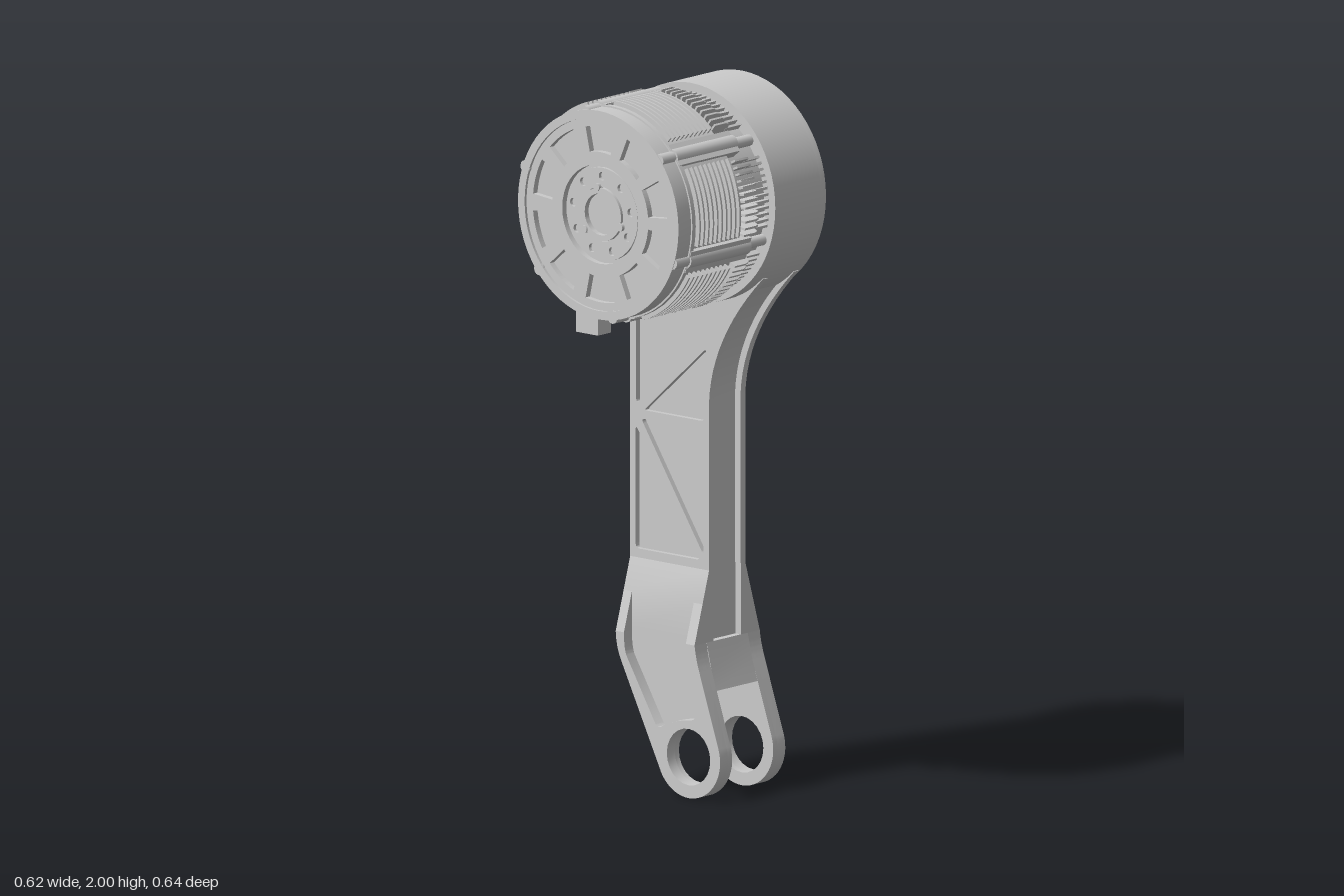
import * as THREE from 'three';
import { mergeGeometries, toCreasedNormals } from 'three/addons/utils/BufferGeometryUtils.js';

const mat = new THREE.MeshStandardMaterial({ color: 0xcccccc });
const MID = -0.185; // arm mid-plane in z
const rad = THREE.MathUtils.degToRad;

function add(parent, name, geo) {
  const m = new THREE.Mesh(geo, mat);
  m.name = name;
  parent.add(m);
  return m;
}

// closed polygon with rounded corners
function poly(pts, r = 0, Type = THREE.Shape) {
  const s = new Type(), v = pts.map(p => new THREE.Vector2(...p)), n = v.length;
  v.forEach((p, i) => {
    const toward = q => p.clone().add(q.clone().sub(p).setLength(r));
    const a = r ? toward(v[(i + n - 1) % n]) : p, b = r ? toward(v[(i + 1) % n]) : p;
    if (i) s.lineTo(a.x, a.y); else s.moveTo(a.x, a.y);
    if (r) s.quadraticCurveTo(p.x, p.y, b.x, b.y);
  });
  s.closePath();
  return s;
}

function circle(r, x = 0, y = 0, Type = THREE.Path) {
  const s = new Type();
  s.absarc(x, y, r, 0, Math.PI * 2);
  return s;
}

function sector(r0, r1, a, b, Type = THREE.Shape) {
  const s = new Type();
  s.absarc(0, 0, r1, a, b, false);
  s.absarc(0, 0, r0, b, a, true);
  s.closePath();
  return s;
}

// flat plate between two z values
function plate(shape, z0, z1, seg = 12) {
  const g = new THREE.ExtrudeGeometry(shape, { depth: z1 - z0, bevelEnabled: false, curveSegments: seg });
  return toCreasedNormals(g.translate(0, 0, z0), 0.5);
}

// disc or ring along z
function disc(r, z0, z1, x = 0, y = 0, seg = 20) {
  return new THREE.CylinderGeometry(r, r, z1 - z0, seg).rotateX(Math.PI / 2).translate(x, y, (z0 + z1) / 2);
}
function ring(r0, r1, z0, z1, seg = 24) {
  const s = circle(r1, 0, 0, THREE.Shape);
  s.holes.push(circle(r0));
  return plate(s, z0, z1, seg);
}

// the same plate on the front and back of the arm
function bothSides(parent, name, shape, z0, z1) {
  add(parent, name + 'Front', plate(shape, z0, z1));
  add(parent, name + 'Back', plate(shape, 2 * MID - z1, 2 * MID - z0));
}

// a (z, y) profile swept in x, on the front and back of the arm
function sweepX(parent, name, pts, x0, x1) {
  for (const back of [false, true]) {
    const shape = poly(pts.map(([z, y]) => [back ? 2 * MID - z : z, y]));
    const g = plate(shape, 0, x1 - x0).rotateY(-Math.PI / 2).translate(x1, 0, 0);
    add(parent, name + (back ? 'Back' : 'Front'), g);
  }
}

// straight upper arm outline, flaring into the round housing
function armShape(inset, y0) {
  const s = new THREE.Shape();
  s.moveTo(-0.265 + inset, y0);
  s.lineTo(0.022 - inset, y0);
  s.lineTo(0.022 - inset, 1.1);
  s.quadraticCurveTo(0.03 - inset, 1.286 + inset * 0.4, 0.217 - inset, 1.473);
  s.lineTo(0, 1.6);
  s.lineTo(-0.265 + inset, 1.535);
  s.closePath();
  return s;
}

function buildArm() {
  const arm = new THREE.Group();
  arm.name = 'arm';

  // flanges with triangular pockets over a recessed web
  const frame = armShape(0, 0.63);
  const pockets = [
    [[-0.243, 1.41], [-0.16, 1.375], [-0.06, 1.352], [0.03, 1.345], [0.028, 1.29], [-0.243, 1.06]],
    [[0.012, 1.25], [0.004, 1.045], [-0.215, 1.045]],
    [[-0.225, 1.02], [0.002, 1.02], [0.002, 0.67]],
    [[-0.245, 1.0], [-0.245, 0.655], [-0.01, 0.655]],
  ];
  for (const p of pockets) frame.holes.push(poly(p, 0.014, THREE.Path));
  bothSides(arm, 'pocketFrame', frame, -0.125, -0.11);
  bothSides(arm, 'pocketFloor', armShape(0, 0.63), -0.13, -0.125);
  add(arm, 'armCore', plate(armShape(0.02, 0.43), -0.245, -0.125));

  // taper from the arm to the wider fork
  sweepX(arm, 'taper', [[-0.128, 0.63], [-0.11, 0.63], [-0.083, 0.54], [-0.083, 0.43], [-0.128, 0.43]], -0.265, 0.022);
  const rail = [[-0.083, 0.54], [-0.05, 0.43], [-0.083, 0.43]];
  sweepX(arm, 'taperRailLeft', rail, -0.01, 0.022);
  sweepX(arm, 'taperRailRight', rail, -0.265, -0.235);

  // fork cheeks, each an outer rim over a flat inner plate
  const cheek = notch => {
    const s = new THREE.Shape();
    s.moveTo(-0.265, 0.43);
    s.quadraticCurveTo(-0.263, 0.385, -0.245, 0.35);
    s.lineTo(-0.102, 0.063);
    s.absarc(0, 0.115, 0.115, rad(207), rad(378.7), false);
    s.lineTo(0.04, 0.355);
    s.quadraticCurveTo(0.026, 0.395, 0.022, 0.43);
    if (notch) {
      s.lineTo(-0.01, 0.43);
      s.quadraticCurveTo(-0.008, 0.33, 0.022, 0.235);
      s.quadraticCurveTo(0.025, 0.222, 0.01, 0.219);
      s.quadraticCurveTo(-0.06, 0.21, -0.1, 0.185);
      s.quadraticCurveTo(-0.112, 0.18, -0.12, 0.19);
      s.lineTo(-0.225, 0.365);
      s.quadraticCurveTo(-0.235, 0.385, -0.235, 0.43);
    }
    s.closePath();
    s.holes.push(circle(0.079, 0, 0.115));
    return s;
  };
  bothSides(arm, 'forkRim', cheek(true), -0.083, -0.05);
  bothSides(arm, 'forkCheek', cheek(false), -0.1, -0.083);
  add(arm, 'forkBridge', plate(poly([[-0.265, 0.43], [-0.26, 0.385], [-0.245, 0.35], [-0.212, 0.285],
    [0.058, 0.3], [0.04, 0.355], [0.022, 0.43]]), -0.27, -0.1));
  return arm;
}

function buildHousing() {
  const g = new THREE.Group();
  g.name = 'housing';
  add(g, 'housingDrum', disc(0.307, -0.25, -0.06, 0, 0, 64));

  // back plate with counterbores and one larger port
  const back = circle(0.307, 0, 0, THREE.Shape);
  back.holes.push(circle(0.05, -0.17, 0.09), circle(0.045));
  const bolts = [];
  for (let i = 0; i < 8; i++) {
    const a = rad(i * 45), b = rad(22.5 + i * 45);
    back.holes.push(circle(0.02, 0.27 * Math.cos(a), 0.27 * Math.sin(a)));
    bolts.push(disc(0.011, -0.264, -0.25, 0.27 * Math.cos(a), 0.27 * Math.sin(a), 12));
    bolts.push(disc(0.013, -0.282, -0.26, 0.25 * Math.cos(b), 0.25 * Math.sin(b), 12));
  }
  for (let i = 0; i < 3; i++) {
    const a = rad(90 + i * 120);
    bolts.push(disc(0.022, -0.28, -0.26, 0.105 * Math.cos(a), 0.105 * Math.sin(a), 14));
  }
  add(g, 'backPlate', plate(back, -0.27, -0.25, 32));
  add(g, 'backBolts', mergeGeometries(bolts));
  add(g, 'outputBoss', ring(0.045, 0.076, -0.297, -0.25));
  add(g, 'outputShaft', ring(0.018, 0.034, -0.285, -0.25));
  return g;
}

function buildMotor() {
  const g = new THREE.Group();
  g.name = 'motor';
  const columns = [0, 1, 2, 3, 4, 5].map(i => 100 + i * 60);
  const nearColumn = d => columns.some(c => Math.abs(((d - c + 540) % 360) - 180) < 8.5);
  add(g, 'statorCore', disc(0.268, -0.08, 0.07, 0, 0, 48));
  add(g, 'motorCore', disc(0.288, 0.065, 0.27, 0, 0, 48));

  // curved radial ribs and the thinner ridges behind them
  const rib = poly([[0.25, -0.002], [0.29, -0.002], [0.304, 0.006], [0.309, 0.022], [0.309, 0.066], [0.25, 0.066]]);
  const ribs = [], ridges = [];
  for (let d = 0; d < 360; d += 3.6) {
    if (nearColumn(d)) continue;
    ribs.push(plate(rib, -0.003, 0.003).rotateX(Math.PI / 2).rotateZ(rad(d)));
    ridges.push(new THREE.BoxGeometry(0.03, 0.007, 0.07).translate(0.269, 0, -0.03).rotateZ(rad(d)));
  }
  add(g, 'radialRibs', mergeGeometries(ribs));
  add(g, 'statorRidges', mergeGeometries(ridges));

  // cooling fins between the bolt columns
  const fins = [], posts = [];
  for (const c of columns) {
    const s = sector(0.28, 0.308, rad(c + 9), rad(c + 51));
    for (let i = 0; i < 10; i++) fins.push(plate(s, 0.083 + i * 0.0185, 0.089 + i * 0.0185, 10));
    const parts = [
      new THREE.BoxGeometry(0.04, 0.066, 0.25).translate(0.278, 0, 0.145),
      disc(0.024, 0.018, 0.268, 0.283, 0, 16),
      disc(0.018, 0.26, 0.322, 0.284, 0, 14),
      disc(0.016, -0.07, 0.03, 0.276, 0, 14),
    ];
    posts.push(...parts.map(p => p.rotateZ(rad(c))));
  }
  add(g, 'coolingFins', mergeGeometries(fins));
  add(g, 'boltColumns', mergeGeometries(posts));

  // end cap with ten windows around a recessed hub
  add(g, 'capFlange', disc(0.297, 0.258, 0.272, 0, 0, 48));
  add(g, 'capBase', disc(0.285, 0.27, 0.298, 0, 0, 48));
  add(g, 'capRim', ring(0.268, 0.292, 0.27, 0.324, 32));
  const cap = circle(0.27, 0, 0, THREE.Shape);
  for (let i = 0; i < 10; i++) {
    const a = 90 + i * 36;
    cap.holes.push(sector(0.175, 0.245, rad(a - 12.5), rad(a + 12.5), THREE.Path));
  }
  cap.holes.push(circle(0.138));
  add(g, 'capFace', plate(cap, 0.29, 0.316, 20));

  const hub = circle(0.13, 0, 0, THREE.Shape);
  hub.holes.push(circle(0.076));
  const screws = [];
  for (let i = 0; i < 9; i++) {
    const a = rad(i * 40 + 10);
    hub.holes.push(circle(0.012, 0.106 * Math.cos(a), 0.106 * Math.sin(a)));
  }
  for (let i = 0; i < 3; i++) {
    const a = rad(100 + i * 120);
    screws.push(disc(0.011, 0.29, 0.318, 0.076 * Math.cos(a), 0.076 * Math.sin(a), 12));
  }
  add(g, 'hubPlate', plate(hub, 0.29, 0.308, 20));
  add(g, 'hubRing', ring(0.058, 0.074, 0.29, 0.314));
  add(g, 'hubScrews', mergeGeometries(screws));

  // cable connector under the cap
  add(g, 'connector', new THREE.BoxGeometry(0.08, 0.06, 0.055).translate(-0.042, -0.308, 0.296));
  return g;
}

export function createModel() {
  const model = new THREE.Group();
  model.name = 'legLink';
  const drive = new THREE.Group();
  drive.name = 'drive';
  drive.position.y = 1.693;
  drive.add(buildHousing(), buildMotor());
  model.add(buildArm(), drive);
  return model;
}
